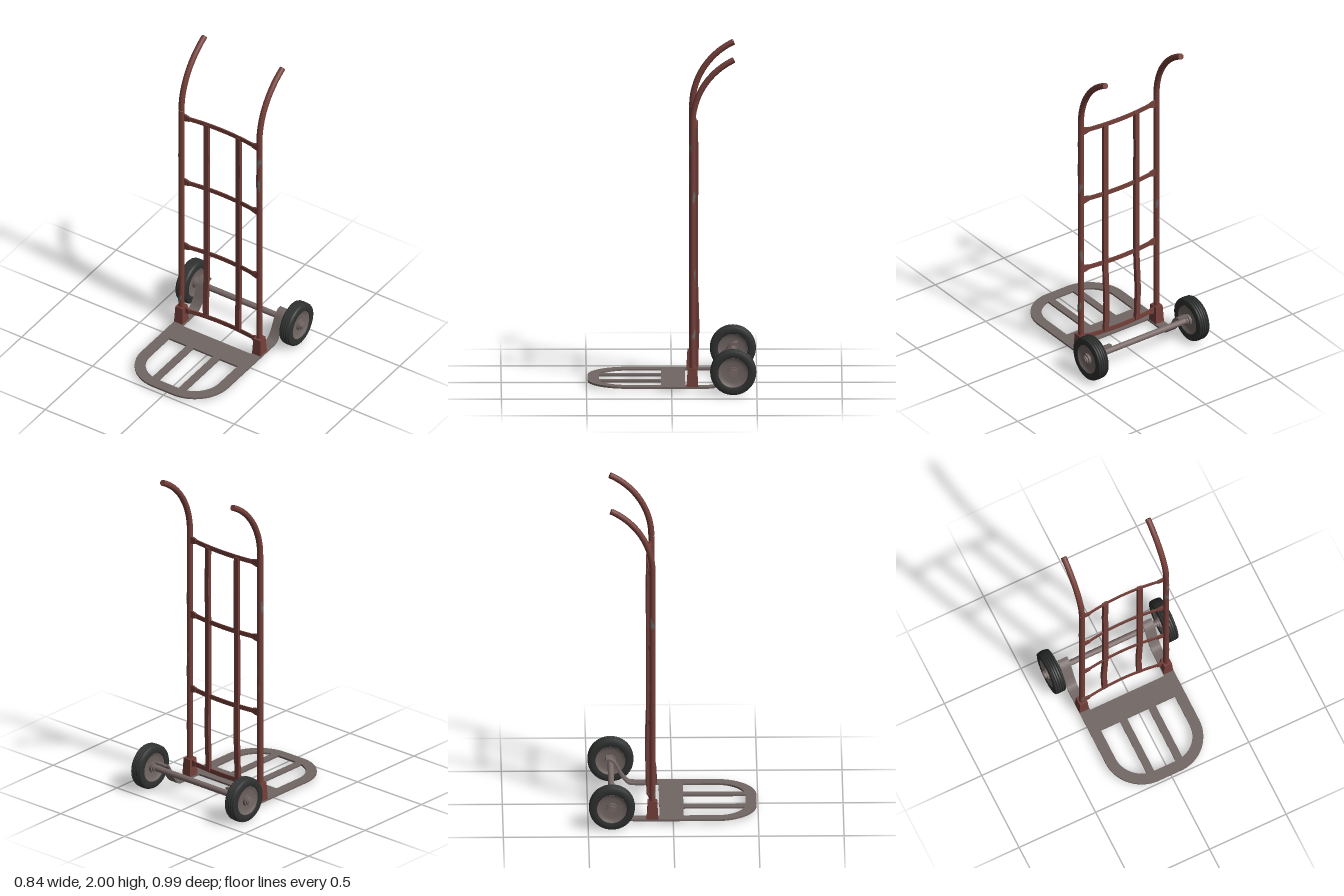
import * as THREE from 'three';
import { toCreasedNormals } from 'three/addons/utils/BufferGeometryUtils.js';

const material = (name, color) => {
  const m = new THREE.MeshStandardMaterial({ color });
  m.name = name;
  return m;
};

export function createModel() {
  const model = new THREE.Group();
  model.name = 'handTruck';
  const red = material('rustRedPaint', 0x743f39);
  const steel = material('bareSteel', 0x716663);
  const axleSteel = material('axleSteel', 0x7a6b69);
  const rubber = material('blackRubber', 0x2f3030);
  const chip = material('chippedPaint', 0x6a6562);
  chip.side = THREE.DoubleSide;

  const add = (name, geometry, mat, x = 0, y = 0, z = 0, parent = model) => {
    const mesh = new THREE.Mesh(geometry, mat);
    mesh.name = name;
    mesh.position.set(x, y, z);
    parent.add(mesh);
    return mesh;
  };
  // Extrudes an x-z outline downwards from y = 0
  const slab = (shape, depth) => toCreasedNormals(
    new THREE.ExtrudeGeometry(shape, { depth, bevelEnabled: false, curveSegments: 20 }).rotateX(Math.PI / 2), 0.6);
  const shapeOf = (pts) => new THREE.Shape(pts.map(([x, y]) => new THREE.Vector2(x, y)));

  const midX = -0.012;
  const tubeX = [-0.287, 0.263];
  const tubeZ = -0.122;
  const tubeR = 0.018;

  // Side tubes: straight uprights that sweep back into handles
  const bendR = 0.425, bendStart = 1.6, bendAngle = 1.13;
  const arcPoints = [];
  for (let i = 0; i <= 16; i++) {
    const a = (bendAngle * i) / 16;
    arcPoints.push(new THREE.Vector3(0, bendStart + bendR * Math.sin(a), tubeZ - bendR * (1 - Math.cos(a))));
  }
  const handleCurve = new THREE.CatmullRomCurve3(arcPoints);
  const end = arcPoints[16];
  for (const x of tubeX) {
    add('upright', new THREE.CylinderGeometry(tubeR, tubeR, bendStart - 0.03, 20, 1, true), red, x, (bendStart + 0.03) / 2, tubeZ);
    add('handle', new THREE.TubeGeometry(handleCurve, 24, tubeR, 20), red, x);
    const cap = add('handleEnd', new THREE.CircleGeometry(tubeR, 20), red, x, end.y, end.z);
    cap.rotation.x = -(Math.PI - bendAngle) + Math.PI / 2;
    cap.lookAt(x, end.y + Math.cos(bendAngle), end.z - Math.sin(bendAngle));

    // Foot socket, narrowing slightly towards the top
    const socket = new THREE.BoxGeometry(0.06, 0.11, 0.068);
    const p = socket.attributes.position;
    for (let i = 0; i < p.count; i++) {
      if (p.getY(i) > 0) { p.setX(i, p.getX(i) * 0.82); p.setZ(i, p.getZ(i) * 0.82); }
    }
    socket.computeVertexNormals();
    add('footSocket', socket, red, x, 0.088, tubeZ);
  }

  // Worn patches, as thin curved plates over the tubes
  const patch = (x, y, height, start, sweep, lean) => {
    const g = new THREE.CylinderGeometry(tubeR + 0.0012, tubeR + 0.0012, height, 8, 1, true, start, sweep);
    const p = g.attributes.position;
    for (let i = 0; i < p.count; i++) {
      const a = Math.atan2(p.getX(i), p.getZ(i));
      p.setY(i, p.getY(i) * (0.6 + 0.35 * Math.sin(a * 5 + y * 9)) + lean * a * 0.02);
    }
    add('wornPatch', g, chip, x, y, tubeZ);
  };
  patch(tubeX[0], 0.205, 0.06, -0.9, 1.6, 1);
  patch(tubeX[0], 1.235, 0.08, -2.2, 1.3, -1);
  patch(tubeX[0], 0.8, 0.07, 2.2, 1.4, 1);
  patch(tubeX[1], 1.44, 0.08, -0.2, 1.4, 1);
  patch(tubeX[1], 1.29, 0.1, -0.8, 1.5, -1);
  patch(tubeX[1], 1.12, 0.08, 1.5, 1.6, 1);
  patch(tubeX[1], 0.75, 0.09, 2.0, 1.5, -1);
  patch(tubeX[1], 0.3, 0.06, 1.2, 1.5, 1);

  // Bowed rungs with flared lugs at the tubes
  const bow = (x) => -0.146 + 0.021 * ((x - midX) / 0.25) ** 2;
  const front = [], back = [];
  for (let i = 0; i <= 20; i++) {
    const x = tubeX[0] + 0.012 + (tubeX[1] - tubeX[0] - 0.024) * (i / 20);
    front.push([x, bow(x) + 0.004]);
    back.unshift([x, bow(x) - 0.004]);
  }
  const rungGeometry = slab(shapeOf([...front, ...back]), 0.027);
  const lugShape = shapeOf([[0, -0.023], [0.02, -0.02], [0.042, -0.0135], [0.042, 0.0135], [0.02, 0.02], [0, 0.023]]);
  const lugGeometry = new THREE.ExtrudeGeometry(lugShape, { depth: 0.012, bevelEnabled: false });
  for (const y of [0.117, 0.592, 1.068, 1.545]) {
    add('rung', rungGeometry, red, 0, y + 0.0135, 0);
    add('rungLug', lugGeometry, red, tubeX[0] + 0.014, y, -0.134);
    const lug = add('rungLug', lugGeometry, red, tubeX[1] - 0.014, y, -0.122);
    lug.rotation.y = Math.PI;
  }

  // Two slightly bent vertical slats
  for (const [x, lean] of [[-0.124, 0.1], [0.102, -0.1]]) {
    const slat = new THREE.BoxGeometry(0.031, 1.43, 0.022, 1, 36, 1);
    const p = slat.attributes.position;
    for (let i = 0; i < p.count; i++) {
      const y = p.getY(i) + 0.831;
      p.setZ(i, p.getZ(i) - 0.007 * Math.exp(-(((y - 0.36) / 0.16) ** 2)) - 0.003 * Math.exp(-(((y - 1.3) / 0.15) ** 2)));
      p.setX(i, p.getX(i) - 0.006 * Math.exp(-(((y - 0.25) / 0.2) ** 2)));
    }
    slat.computeVertexNormals();
    add('slat', slat, red, x, 0.831, -0.143).rotation.y = lean;
  }

  // Toe plate: rounded U rim, cross plate and two bars
  const xL = -0.317, xR = 0.295, rim = 0.064, armEnd = -0.215;
  const rimShape = new THREE.Shape();
  rimShape.moveTo(xL, armEnd);
  rimShape.lineTo(xL + rim, armEnd);
  rimShape.lineTo(xL + rim, 0.257);
  rimShape.absarc(xL + rim + 0.17, 0.257, 0.17, Math.PI, Math.PI / 2, true);
  rimShape.absarc(xR - rim - 0.17, 0.257, 0.17, Math.PI / 2, 0, true);
  rimShape.lineTo(xR - rim, armEnd);
  rimShape.lineTo(xR, armEnd);
  rimShape.lineTo(xR, 0.257);
  rimShape.absarc(xR - 0.235, 0.257, 0.235, 0, Math.PI / 2, false);
  rimShape.absarc(xL + 0.235, 0.257, 0.235, Math.PI / 2, Math.PI, false);
  const plateTop = 0.034, plateT = 0.011;
  add('toePlateRim', slab(rimShape, plateT), steel, 0, plateTop, 0);
  add('toePlateCross', new THREE.BoxGeometry(xR - xL - 2 * rim, plateT, 0.142), steel, (xL + xR) / 2, plateTop - plateT / 2, -0.009);
  for (const x of [-0.105, 0.081]) {
    add('toePlateBar', new THREE.BoxGeometry(0.046, plateT, 0.368), steel, x, plateTop - plateT / 2, 0.246);
  }

  // Arms curling up from the plate and over the axle
  const armCurve = new THREE.CatmullRomCurve3([
    [-0.215, 0.0285], [-0.255, 0.034], [-0.29, 0.07], [-0.32, 0.125], [-0.343, 0.165], [-0.365, 0.181], [-0.39, 0.184],
  ].map(([z, y]) => new THREE.Vector3(z, y, 0)));
  const over = [], under = [];
  for (let i = 0; i <= 28; i++) {
    const q = armCurve.getPoint(i / 28), t = armCurve.getTangent(i / 28);
    over.push([q.x + t.y * 0.0055, q.y - t.x * 0.0055]);
    under.unshift([q.x - t.y * 0.0055, q.y + t.x * 0.0055]);
  }
  const armGeometry = toCreasedNormals(new THREE.ExtrudeGeometry(shapeOf([...over, ...under]),
    { depth: rim, bevelEnabled: false }).rotateY(-Math.PI / 2), 0.6);
  for (const x of [xL + rim, xR]) add('axleArm', armGeometry, steel, x);

  // Axle
  const axleY = 0.138, axleZ = -0.361;
  const rod = (r, length) => new THREE.CylinderGeometry(r, r, length, 24).rotateZ(Math.PI / 2);
  add('axle', rod(0.018, 0.84), axleSteel, -0.002, axleY, axleZ);

  // Wheels: grooved tyre, dished disc, hub and washer
  const lathe = (pts) => toCreasedNormals(new THREE.LatheGeometry(
    pts.map(([r, h]) => new THREE.Vector2(r, h)), 48).rotateZ(Math.PI / 2), 0.5);
  const tread = [];
  for (const h of [-0.021, -0.007, 0.007, 0.021]) {
    const r = 0.136 - Math.abs(h) * 0.08;
    tread.push([r, h - 0.003], [r - 0.006, h], [r, h + 0.003]);
  }
  const tyre = lathe([[0.086, -0.026], [0.091, -0.035], [0.105, -0.038], [0.12, -0.037], [0.13, -0.033],
    ...tread, [0.13, 0.033], [0.12, 0.037], [0.105, 0.038], [0.091, 0.035], [0.086, 0.026], [0.086, -0.026]]);
  const disc = lathe([[0.001, -0.022], [0.06, -0.022], [0.078, -0.026], [0.088, -0.032],
    [0.088, 0.032], [0.078, 0.026], [0.06, 0.022], [0.001, 0.022]]);
  for (const [name, x] of [['rightWheel', -0.369], ['leftWheel', 0.364]]) {
    const wheel = new THREE.Group();
    wheel.name = name;
    wheel.position.set(x, axleY, axleZ);
    model.add(wheel);
    add('tyre', tyre, rubber, 0, 0, 0, wheel);
    add('wheelDisc', disc, steel, 0, 0, 0, wheel);
    add('hub', rod(0.034, 0.076), steel, 0, 0, 0, wheel);
    add('washer', rod(0.025, 0.098), axleSteel, 0, 0, 0, wheel);
  }
  return model;
}
